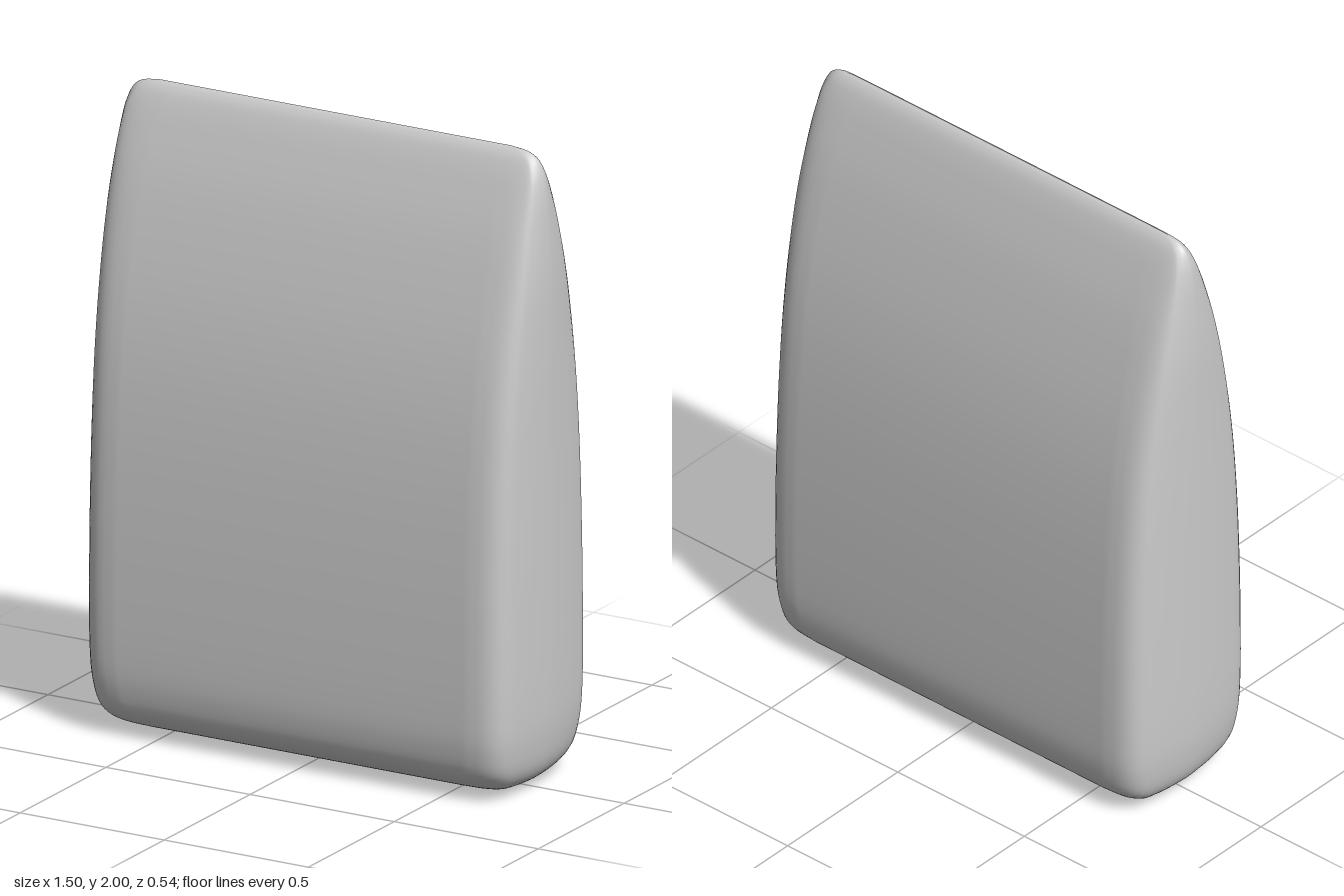
import * as THREE from 'three';

// Half-width, height and half-depth of the body, from base to ridge
const PROFILE = [
  [0.60, 0, 0], [0.645, 0.01, 0.10], [0.685, 0.025, 0.165], [0.712, 0.05, 0.21],
  [0.73, 0.09, 0.243], [0.742, 0.16, 0.262], [0.748, 0.25, 0.27], [0.75, 0.55, 0.27],
  [0.75, 0.8, 0.262], [0.75, 1.0, 0.25], [0.75, 1.2, 0.23], [0.75, 1.4, 0.198],
  [0.749, 1.6, 0.153], [0.742, 1.75, 0.112], [0.732, 1.87, 0.071], [0.72, 1.93, 0.048],
  [0.70, 1.97, 0.029], [0.67, 1.99, 0.014], [0.61, 2, 0],
];

// Rounded quarter of a level section: inset from the end, fraction of the depth
const CORNER = [[0, 0], [0.004, 0.3], [0.013, 0.6], [0.033, 0.86], [0.08, 0.97], [0.15, 1]];

const smooth = (pts, n) =>
  new THREE.CatmullRomCurve3(pts.map(([x, y, z = 0]) => new THREE.Vector3(x, y, z))).getPoints(n);

function bodyGeometry() {
  const rows = smooth(PROFILE, 72);
  const corner = smooth(CORNER, 16);
  const positions = [], index = [];

  // Each level is a closed ring made of a front half and the same half turned round
  for (const { x: w, y, z: d } of rows) {
    const quarter = corner.map((c) => [w - c.x, c.y * d]);
    const mirrored = quarter.map(([x, z]) => [-x, z]).reverse();
    const half = [...quarter, ...mirrored].slice(0, -1);
    for (const s of [1, -1]) for (const [x, z] of half) positions.push(s * x, y, s * z);
  }

  const n = positions.length / 3 / rows.length;
  for (let i = 0; i < rows.length - 1; i++) {
    for (let j = 0; j < n; j++) {
      const a = i * n + j, b = i * n + ((j + 1) % n);
      index.push(a, a + n, b, b, a + n, b + n);
    }
  }
  const geometry = new THREE.BufferGeometry();
  geometry.setAttribute('position', new THREE.Float32BufferAttribute(positions, 3));
  geometry.setIndex(index);
  geometry.computeVertexNormals();
  return geometry;
}

export function createModel() {
  const group = new THREE.Group();
  group.name = 'roundedWedge';
  const body = new THREE.Mesh(bodyGeometry(), new THREE.MeshStandardMaterial({ color: 0xcccccc }));
  body.name = 'wedgeBody';
  group.add(body);
  return group;
}
